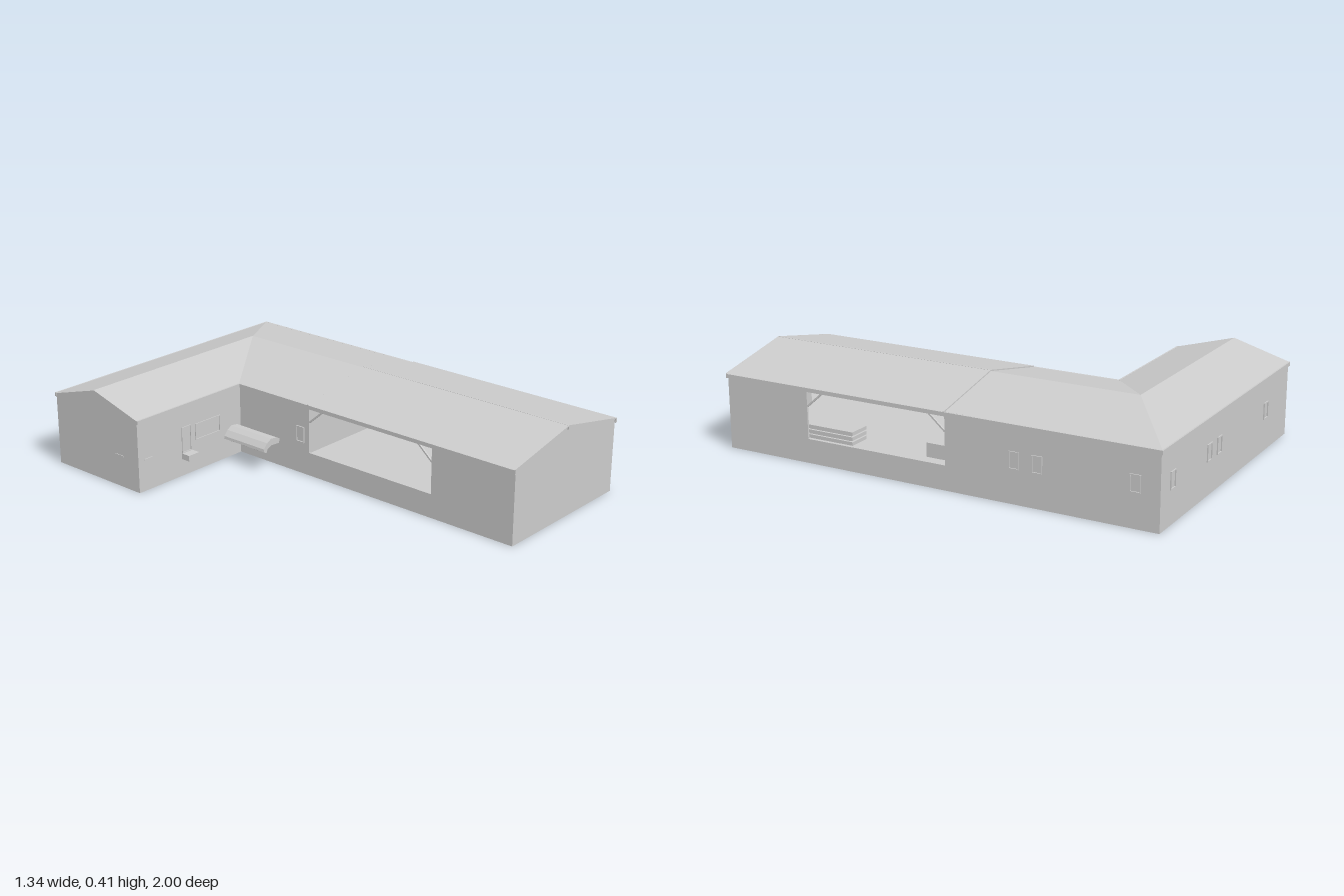
import * as THREE from 'three';

const grey = new THREE.MeshStandardMaterial({ color: 0xcccccc, flatShading: true, side: THREE.DoubleSide });
const T = 0.008; // wall thickness

export function createModel() {
  const root = new THREE.Group();
  const add = (name, geo, parent = root) => {
    const m = new THREE.Mesh(geo, grey);
    m.name = name;
    parent.add(m);
    return m;
  };
  const group = (name) => {
    const g = new THREE.Group();
    g.name = name;
    root.add(g);
    return g;
  };
  // box given by its minimum and maximum on each axis
  const box = (name, x0, x1, y0, y1, z0, z1, parent = root) => {
    const m = add(name, new THREE.BoxGeometry(x1 - x0, y1 - y0, z1 - z0), parent);
    m.position.set((x0 + x1) / 2, (y0 + y1) / 2, (z0 + z1) / 2);
    return m;
  };
  // bar of square section between two points
  const bar = (name, a, b, w, parent) => {
    const p = new THREE.Vector3(...a), q = new THREE.Vector3(...b);
    const m = add(name, new THREE.BoxGeometry(w, w, p.distanceTo(q)), parent);
    m.position.copy(p).add(q).multiplyScalar(0.5);
    m.lookAt(q);
    return m;
  };
  const outline = (pts) => new THREE.Shape(pts.map(([a, b]) => new THREE.Vector2(a, b)));
  const extrude = (shape, depth) => new THREE.ExtrudeGeometry(shape, { depth, bevelEnabled: false });
  // flat convex panel
  const panel = (name, pts, parent) => {
    const geo = new THREE.BufferGeometry();
    const pos = [];
    for (let i = 1; i < pts.length - 1; i++) pos.push(...pts[0], ...pts[i], ...pts[i + 1]);
    geo.setAttribute('position', new THREE.Float32BufferAttribute(pos, 3));
    geo.computeVertexNormals();
    return add(name, geo, parent);
  };
  // wall lying in the z-y plane, outer face on the given side
  const sideWall = (name, pts, hole, x, parent) => {
    const s = outline(pts);
    if (hole) s.holes.push(outline(hole));
    const m = add(name, extrude(s, T).rotateY(-Math.PI / 2), parent);
    m.position.x = x;
  };

  // walls
  const walls = group('walls');
  const opening = [[-0.07, 0.105], [-0.07, 0.31], [0.59, 0.31], [0.59, 0.105]];
  sideWall('leftWall', [[-0.99, 0], [0.995, 0], [0.995, 0.33], [-0.99, 0.325]], opening, 0.657, walls);
  sideWall('courtyardWall', [[-0.48, 0], [0.995, 0], [0.995, 0.33], [-0.48, 0.325]], opening, -0.057 + T, walls);
  sideWall('rightGableWall', [[-0.99, 0], [-0.48, 0], [-0.48, 0.325], [-0.74, 0.398], [-0.99, 0.325]], null, -0.668 + T, walls);
  const gable = [[-0.057, 0], [0.657, 0], [0.657, 0.328], [0.30, 0.403], [-0.057, 0.328]];
  add('frontGableWall', extrude(outline(gable), T), walls).position.z = 0.995 - T;
  box('backWall', -0.668, 0.657, 0, 0.325, -0.992, -0.992 + T, walls);
  box('rearWingFrontWall', -0.668, -0.057, 0, 0.325, -0.48 - T, -0.48, walls);
  const inner = [[-0.057, 0.1], [0.657, 0.1], [0.657, 0.325], [0.30, 0.398], [-0.057, 0.325]];
  add('porchBackWall', extrude(outline(inner), T), walls).position.z = -0.07 - T;

  // floors
  const floors = group('floors');
  box('porchAndRoomFloor', -0.055, 0.655, 0.095, 0.103, -0.48, 0.99, floors);
  box('rearFloor', -0.665, 0.655, 0.095, 0.103, -0.99, -0.48, floors);

  // roof: raised front part, then the L-shaped rear with its hip and valley
  const roof = group('roof');
  const XL = -0.067, XR = 0.665, XM = 0.30, J = -0.07, e = 0.325, r = 0.40;
  for (const [name, x] of [['frontRoofRight', XL], ['frontRoofLeft', XR]]) {
    panel(name, [[x, 0.33, 1], [XM, 0.405, 1], [XM, 0.405, J], [x, 0.33, J]], roof);
    bar('roofEdge', [x, 0.328, 0.998], [XM, 0.403, 0.998], 0.004, roof);
    bar('roofStep', [x, 0.327, J], [XM, 0.402, J], 0.006, roof);
  }
  panel('rearRoofLeft', [[XR, e, J], [XR, e, -1], [XM, r, -0.74], [XM, r, J]], roof);
  panel('rearRoofInner', [[XL, e, J], [XM, r, J], [XM, r, -0.74], [XL, e, -0.475]], roof);
  panel('rearRoofBack', [[XR, e, -1], [-0.67, e, -1], [-0.67, r, -0.74], [XM, r, -0.74]], roof);
  panel('rearRoofFront', [[-0.67, e, -0.475], [XL, e, -0.475], [XM, r, -0.74], [-0.67, r, -0.74]], roof);
  box('ridgeBeam', XM - 0.004, XM + 0.004, 0.385, 0.405, J, 1, roof);

  // fascia boards under the eaves
  box('leftFascia', 0.656, 0.665, 0.31, 0.327, -1, 1, roof);
  box('courtyardFascia', -0.067, -0.057, 0.31, 0.327, -0.475, 1, roof);
  box('backFascia', -0.67, 0.665, 0.31, 0.327, -1, -0.992, roof);
  box('rearWingFascia', -0.67, -0.06, 0.31, 0.327, -0.48, -0.472, roof);

  // porch rafters and corner braces
  const porch = group('porchFrame');
  for (let i = 0; i < 7; i++) {
    const z = -0.02 + i * 0.1;
    for (const x of [-0.05, 0.65]) bar('rafter', [x, 0.325, z], [XM, 0.394, z], 0.01, porch);
  }
  for (const x of [-0.053, 0.653]) {
    bar('brace', [x, 0.245, 0.59], [x, 0.31, 0.515], 0.007, porch);
    bar('brace', [x, 0.245, -0.07], [x, 0.31, 0.005], 0.007, porch);
  }

  // framed rectangle facing outward, turned about y
  const frame = (name, w, h, x, y, z, turn) => {
    const s = outline([[-w / 2, -h / 2], [w / 2, -h / 2], [w / 2, h / 2], [-w / 2, h / 2]]);
    const a = w / 2 - 0.004, b = h / 2 - 0.004;
    s.holes.push(outline([[-a, -b], [-a, b], [a, b], [a, -b]]));
    const m = add(name, extrude(s, 0.005));
    m.position.set(x, y, z);
    m.rotation.y = turn;
  };
  for (const z of [-0.38, -0.48, -0.89]) frame('leftWindow', 0.046, 0.072, 0.657, 0.18, z, Math.PI / 2);
  for (const x of [0.55, 0.20, 0.10, -0.41]) frame('backWindow', 0.046, 0.072, x, 0.18, -0.992, Math.PI);
  frame('courtyardWindow', 0.046, 0.072, -0.057, 0.18, -0.12, -Math.PI / 2);
  frame('wideWindow', 0.15, 0.075, -0.262, 0.178, -0.481, 0);
  frame('door', 0.055, 0.118, -0.39, 0.163, -0.481, 0);
  box('doorStep', -0.42, -0.36, 0.078, 0.104, -0.48, -0.435);
  box('frontVent', -0.635, -0.59, 0.139, 0.145, -0.48, -0.476);
  box('gableVent', -0.671, -0.668, 0.139, 0.145, -0.62, -0.57);

  // curved canopy beside the courtyard wall
  const canopy = group('courtyardCanopy');
  const arch = [[-0.172, 0.1], [-0.155, 0.09], [-0.147, 0.108], [-0.12, 0.118], [-0.075, 0.115],
    [-0.072, 0.135], [-0.09, 0.145], [-0.125, 0.149], [-0.15, 0.135], [-0.17, 0.112]];
  add('canopyShell', extrude(outline(arch), 0.24), canopy).position.z = -0.47;
  box('canopyLedge', -0.14, -0.068, 0.098, 0.112, -0.47, -0.3, canopy);

  // slatted bench against the porch opening
  const bench = group('bench');
  for (let i = 0; i < 3; i++) box('benchSlat', 0.54, 0.64, 0.105 + i * 0.021, 0.12 + i * 0.021, 0.38, 0.6, bench);
  box('benchCore', 0.55, 0.63, 0.103, 0.16, 0.39, 0.6, bench);

  // furniture on the porch and in the room behind it
  box('cabinet', 0.46, 0.60, 0.103, 0.163, -0.055, 0.05);
  box('longCabinet', 0.25, 0.55, 0.103, 0.163, 0.87, 0.98);
  const desk = [[-0.02, 0.103], [0.11, 0.103], [0.11, 0.19], [0.07, 0.19], [-0.02, 0.145]];
  add('slopedDesk', extrude(outline(desk), 0.13)).position.z = 0.65;

  return root;
}
